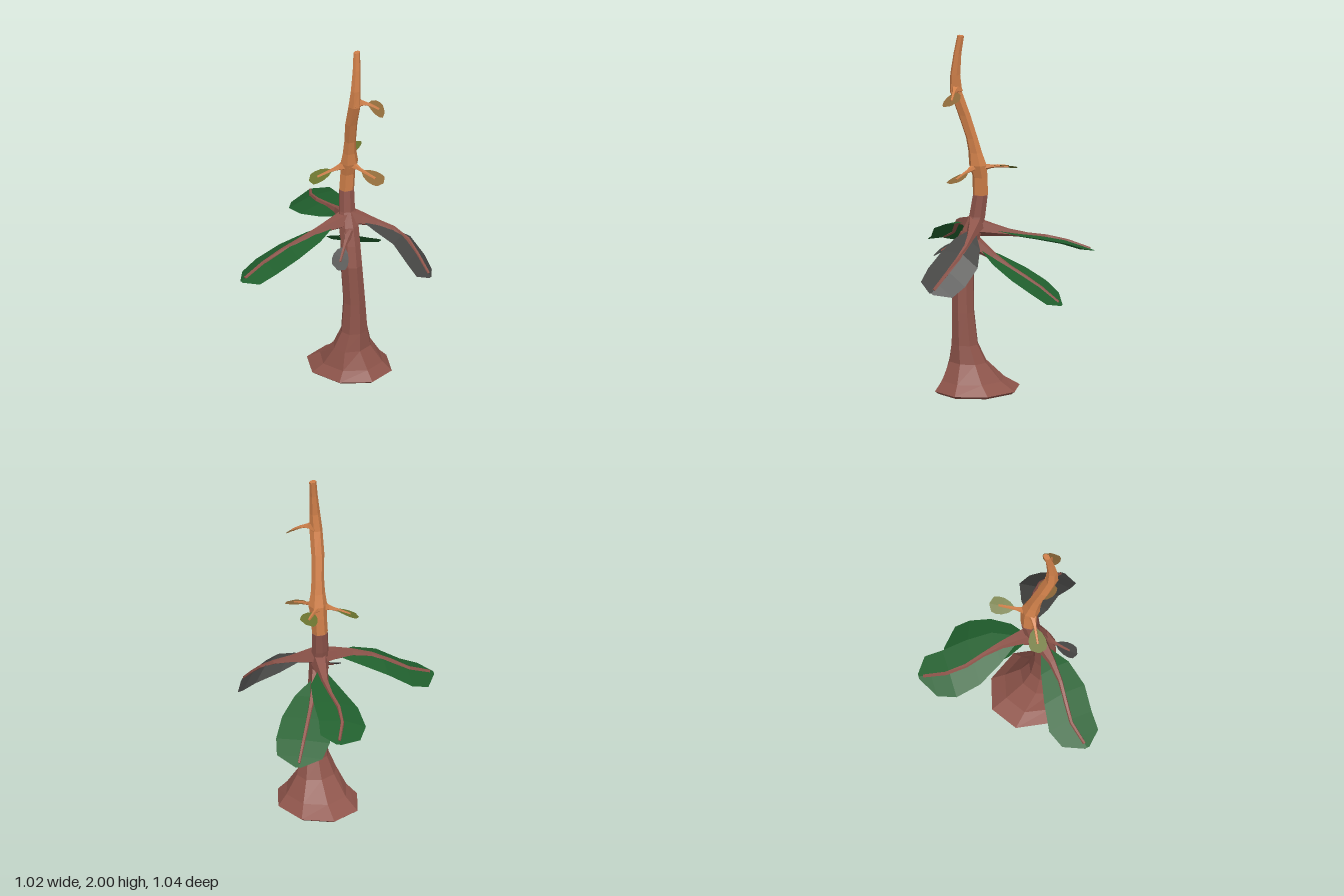
import * as THREE from 'three';

const V = (x, y, z) => new THREE.Vector3(x, y, z);

const make = (name, color, double) => {
  const m = new THREE.MeshStandardMaterial({ color, flatShading: true });
  m.name = name;
  if (double) m.side = THREE.DoubleSide;
  return m;
};

// Mesh from a list of points and triangle indices
function build(name, pos, index, mat) {
  const g = new THREE.BufferGeometry();
  g.setAttribute('position', new THREE.Float32BufferAttribute(pos, 3));
  g.setIndex(index);
  g.computeVertexNormals();
  const mesh = new THREE.Mesh(g, mat);
  mesh.name = name;
  return mesh;
}

// Closed skin over rings given as { c: centre, u, v: half axes }
function loft(name, rings, sides, mat) {
  const pos = [], idx = [], n = rings.length;
  for (const { c, u, v } of rings) {
    for (let i = 0; i < sides; i++) {
      const a = (i + 0.5) / sides * Math.PI * 2;
      pos.push(...c.clone().addScaledVector(u, Math.cos(a)).addScaledVector(v, Math.sin(a)));
    }
  }
  pos.push(...rings[0].c, ...rings[n - 1].c);
  for (let i = 0; i < sides; i++) {
    const k = (i + 1) % sides, top = (n - 1) * sides;
    for (let j = 0; j < n - 1; j++) {
      const a = j * sides + i, b = j * sides + k;
      idx.push(a, b, b + sides, a, b + sides, a + sides);
    }
    idx.push(n * sides, k, i, n * sides + 1, top + i, top + k);
  }
  return build(name, pos, idx, mat);
}

// Level trunk rings from rows of x, y, z, radius across, radius in depth
const trunkRings = rows => rows.map(([x, y, z, rx, rz = rx]) => ({
  c: V(x, y, z), u: V(0, 0, rz), v: V(rx, 0, 0),
}));

// Tapered stem along the first part of a curve, flared where it leaves the trunk
function stem(curve, end, root, tip, mat) {
  const rings = [0, 0.13, 0.28, 0.45, 0.62, 0.8, 1].map((t, i) => {
    const d = curve.getTangentAt(t * end);
    const u = V(0, 1, 0).addScaledVector(d, -d.y).normalize();
    const v = d.clone().cross(u);
    const r = tip * (1.3 - 0.6 * t) + (root - tip) * Math.max(0, 1 - i / 2.5);
    return { c: curve.getPointAt(t * end), u: u.multiplyScalar(r), v: v.multiplyScalar(r) };
  });
  return loft('stem', rings, 5, mat);
}

// Blade along the rest of the curve: a strip on each side of the midrib
// edges: width and lift of the left edge, then of the right edge
function blade(curve, start, [wl, hl, wr, hr], mat) {
  const pos = [], idx = [];
  const chord = curve.getPointAt(1).sub(curve.getPointAt(start));
  const side = V(chord.z, 0, -chord.x).normalize();
  const outline = [[0, 0.15], [0.2, 0.65], [0.45, 0.95], [0.7, 1], [0.88, 0.85], [1, 0.1]];
  outline.forEach(([t, w], i) => {
    const p = curve.getPointAt(start + (1 - start) * t);
    const edge = (width, lift) => p.clone().addScaledVector(side, width * w).add(V(0, lift * w, 0));
    pos.push(...edge(wl, hl), ...p, ...edge(-wr, hr));
    if (i) for (const a of [i * 3 - 3, i * 3 - 2]) idx.push(a, a + 3, a + 4, a, a + 4, a + 1);
  });
  return build('blade', pos, idx, mat);
}

export function createModel() {
  const bark = make('brown bark', 0x8f554b);
  const young = make('orange bark', 0xd0804a);
  const green = make('green leaf', 0x21602e, true);
  const grey = make('grey leaf', 0x484846, true);
  const olive = make('olive leaf', 0x6c7530, true);
  const tan = make('tan leaf', 0x8f6a3a, true);

  const model = new THREE.Group();
  model.name = 'sapling';

  // Trunk with flared foot, then the younger upper shoot
  const joint = [0.03, 1.1, -0.102, 0.041, 0.046];
  model.add(loft('trunk', trunkRings([
    [0.05, 0, -0.1, 0.23, 0.2], [0.05, 0.015, -0.1, 0.249, 0.22], [0.072, 0.07, -0.09, 0.18, 0.17],
    [0.093, 0.17, -0.07, 0.1, 0.118], [0.112, 0.27, -0.067, 0.072, 0.082], [0.117, 0.45, -0.06, 0.062, 0.065],
    [0.107, 0.68, -0.047, 0.062, 0.06], [0.09, 0.8, -0.06, 0.056], [0.065, 0.9, -0.075, 0.056, 0.06],
    [0.042, 0.98, -0.09, 0.044, 0.05], joint,
  ]), 8, bark));
  model.add(loft('upperShoot', trunkRings([
    joint, [0.035, 1.2, -0.105, 0.04, 0.046], [0.048, 1.27, -0.102, 0.048, 0.054],
    [0.058, 1.34, -0.092, 0.036, 0.042], [0.072, 1.42, -0.08, 0.032, 0.036], [0.103, 1.55, -0.052, 0.033, 0.038],
    [0.143, 1.68, -0.03, 0.036], [0.15, 1.78, -0.032, 0.026, 0.031], [0.145, 1.9, -0.045, 0.02, 0.024],
    [0.135, 2, -0.06, 0.016, 0.022],
  ]), 6, young));

  // A leaf on its stem
  function addLeaf(name, mat, big, path, edges) {
    const curve = new THREE.CatmullRomCurve3(path.map(p => V(...p)));
    const wood = mat === olive || mat === tan ? young : bark;
    const leaf = new THREE.Group();
    leaf.name = name;
    leaf.add(stem(curve, big ? 0.96 : 0.78, big ? 0.05 : 0.035, big ? 0.013 : 0.01, wood));
    leaf.add(blade(curve, big ? 0.14 : 0.4, edges, mat));
    model.add(leaf);
  }

  // Large lower leaves
  addLeaf('frontLeaf', green, true,
    [[0.05, 0.93, -0.08], [0, 0.91, 0.08], [-0.075, 0.86, 0.23], [-0.165, 0.775, 0.355], [-0.21, 0.7, 0.515]],
    [0.13, -0.02, 0.125, -0.05]);
  addLeaf('backRightLeaf', green, true,
    [[0.05, 0.92, -0.09], [-0.13, 0.875, -0.2], [-0.365, 0.825, -0.295], [-0.5, 0.765, -0.44]],
    [0.13, -0.055, 0.13, 0.01]);
  addLeaf('backLeaf', green, true,
    [[0.08, 0.85, -0.06], [-0.02, 0.74, -0.2], [-0.15, 0.61, -0.38], [-0.225, 0.51, -0.49]],
    [0.145, 0, 0.155, -0.01]);
  addLeaf('backLeftLeaf', grey, true,
    [[0.05, 0.94, -0.09], [0.15, 0.905, -0.17], [0.29, 0.84, -0.26], [0.5, 0.645, -0.25]],
    [0.11, -0.07, 0.135, 0]);

  // Small leaf below, and buds on the upper shoot
  addLeaf('smallFrontLeaf', grey, false,
    [[0.09, 0.87, -0.05], [0.12, 0.8, 0.04], [0.16, 0.735, 0.135]], [0.045, -0.01, 0.045, 0.02]);
  addLeaf('frontBud', olive, false,
    [[0.045, 1.26, -0.09], [-0.01, 1.23, -0.02], [-0.09, 1.18, 0.075]], [0.05, -0.01, 0.05, 0.01]);
  addLeaf('backBud', olive, false,
    [[0.045, 1.25, -0.1], [-0.01, 1.27, -0.19], [-0.07, 1.275, -0.295]], [0.045, -0.02, 0.045, 0.015]);
  addLeaf('leftBud', tan, false,
    [[0.045, 1.27, -0.1], [0.15, 1.235, -0.11], [0.265, 1.2, -0.13]], [0.05, 0.01, 0.05, -0.01]);
  addLeaf('upperBud', tan, false,
    [[0.145, 1.7, -0.035], [0.2, 1.69, -0.08], [0.27, 1.64, -0.135]], [0.05, 0.02, 0.05, -0.02]);
  return model;
}
